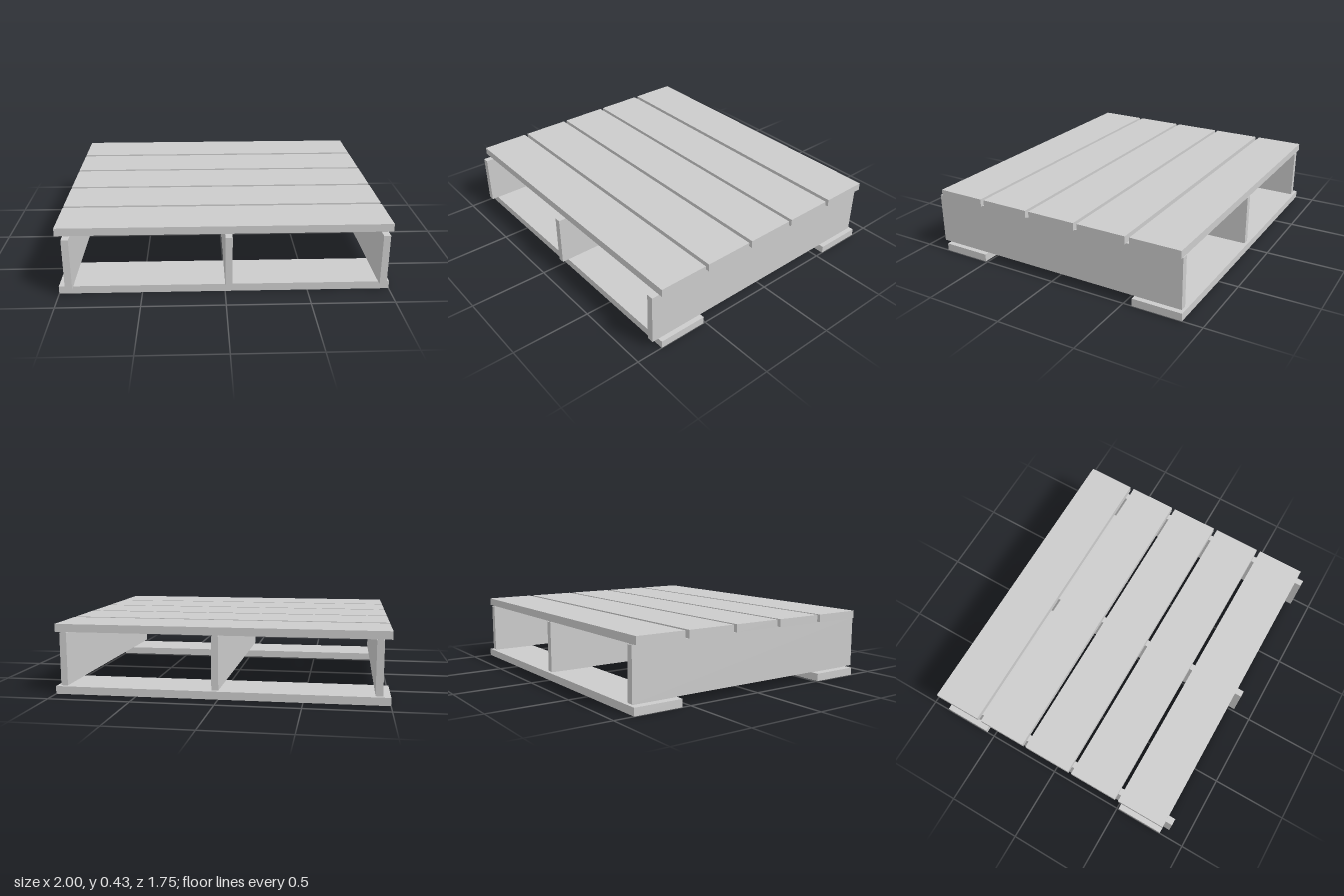
import * as THREE from 'three';

export function createModel() {
  const pallet = new THREE.Group();
  pallet.name = 'pallet';
  const wood = new THREE.MeshStandardMaterial({ color: 0xcccccc, flatShading: true });

  // Box given by its extents along each axis
  const plank = (name, [x0, x1], [y0, y1], [z0, z1]) => {
    const mesh = new THREE.Mesh(new THREE.BoxGeometry(x1 - x0, y1 - y0, z1 - z0), wood);
    mesh.position.set((x0 + x1) / 2, (y0 + y1) / 2, (z0 + z1) / 2);
    mesh.name = name;
    pallet.add(mesh);
  };

  const span = [-1, 1];
  const deckRows = [[0.513, 0.83], [0.171, 0.489], [-0.171, 0.147], [-0.513, -0.195], [-0.859, -0.541]];
  const baseRows = [[0.513, 0.83], [-0.873, -0.556]];
  const stringers = [[-0.955, -0.912], [0, 0.042], [0.93, 0.972]];

  // Five deck boards on top and two base boards underneath
  deckRows.forEach((z) => plank('deckBoard', span, [0.38, 0.428], z));
  baseRows.forEach((z) => plank('baseBoard', span, [0, 0.048], z));

  // Upright stringers, with thin seats where the deck and base boards rest
  stringers.forEach(([x0, x1]) => {
    plank('stringer', [x0, x1], [0.052, 0.373], [-0.857, 0.875]);
    const inner = [x0 + 0.005, x1 - 0.005];
    deckRows.forEach(([a, b]) => plank('deckSeat', inner, [0.373, 0.38], [a + 0.01, b - 0.01]));
    baseRows.forEach(([a, b]) => plank('baseSeat', inner, [0.048, 0.052], [Math.max(a, -0.857) + 0.01, b - 0.01]));
  });

  return pallet;
}
